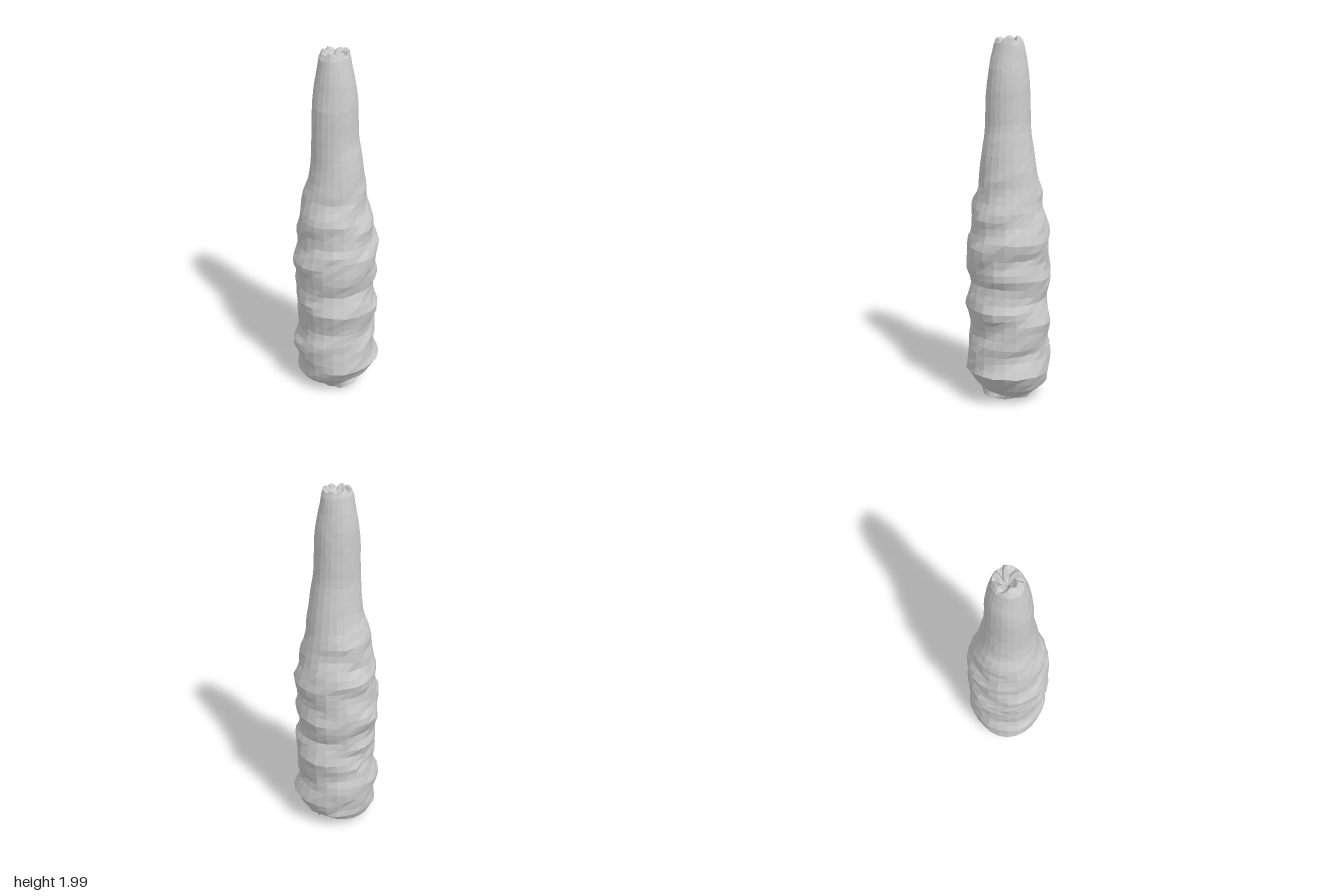
import * as THREE from 'three';

const SIDES = 24;
const RINGS = 46;

// Silhouettes of the body as [height, radius], one per quarter turn: left, front, right, back
const PROFILES = [
  [[0.06, 0.14], [0.1, 0.19], [0.18, 0.24], [0.3, 0.23], [0.4, 0.21], [0.55, 0.24], [0.68, 0.21], [0.86, 0.24], [0.95, 0.21],
    [1.06, 0.21], [1.12, 0.18], [1.25, 0.165], [1.35, 0.155], [1.45, 0.14], [1.52, 0.125], [1.7, 0.12], [1.82, 0.108], [1.95, 0.075]],
  [[0.06, 0.18], [0.1, 0.205], [0.2, 0.215], [0.28, 0.24], [0.4, 0.205], [0.5, 0.22], [0.58, 0.225], [0.7, 0.21], [0.83, 0.24],
    [0.95, 0.2], [1.1, 0.205], [1.2, 0.17], [1.3, 0.145], [1.4, 0.132], [1.7, 0.125], [1.8, 0.108], [1.95, 0.085]],
  [[0.06, 0.19], [0.1, 0.21], [0.2, 0.22], [0.3, 0.232], [0.4, 0.215], [0.5, 0.2], [0.55, 0.22], [0.62, 0.203], [0.73, 0.245],
    [0.85, 0.202], [0.96, 0.222], [1.05, 0.187], [1.15, 0.185], [1.25, 0.16], [1.32, 0.135], [1.5, 0.116], [1.8, 0.11], [1.95, 0.08]],
  [[0.06, 0.16], [0.1, 0.2], [0.18, 0.24], [0.3, 0.21], [0.36, 0.225], [0.48, 0.242], [0.6, 0.205], [0.72, 0.23], [0.82, 0.21],
    [0.92, 0.235], [1.05, 0.2], [1.2, 0.17], [1.4, 0.14], [1.52, 0.12], [1.75, 0.11], [1.95, 0.08]],
];

function radiusAt(profile, y) {
  if (y <= profile[0][0]) return profile[0][1];
  for (let i = 1; i < profile.length; i++) {
    const [y0, r0] = profile[i - 1];
    const [y1, r1] = profile[i];
    if (y <= y1) return THREE.MathUtils.lerp(r0, r1, (y - y0) / (y1 - y0));
  }
  return profile[profile.length - 1][1];
}

// Repeatable roughness in -1..1
function rough(i, j) {
  const s = Math.sin(i * 127.1 + j * 311.7) * 43758.5453;
  return 2 * (s - Math.floor(s)) - 1;
}

// Blends the neighbouring silhouettes around the axis and adds uneven ridges
function bodyRadius(angle, y, i, j) {
  const turn = angle / (Math.PI / 2);
  const q = Math.floor(turn);
  const t = THREE.MathUtils.smoothstep(turn - q, 0, 1);
  const r = THREE.MathUtils.lerp(radiusAt(PROFILES[q % 4], y), radiusAt(PROFILES[(q + 1) % 4], y), t);
  const wrinkled = 1 - THREE.MathUtils.smoothstep(y, 1.05, 1.4);
  const ridge = Math.sin(2 * angle) * Math.sin(y * 34 + 2 * Math.sin(angle));
  return r + wrinkled * 0.008 * ridge + (0.001 + 0.003 * wrinkled) * rough(i, j);
}

function createSkin() {
  const positions = [];
  const indices = [];
  let rows = 0;
  const addRing = (pointAt) => {
    for (let i = 0; i < SIDES; i++) {
      const angle = (i / SIDES) * Math.PI * 2;
      const [r, y] = pointAt(angle, i);
      positions.push(r * Math.cos(angle), y, r * Math.sin(angle));
    }
    rows++;
  };

  // Puckered underside, from the centre outwards
  const base = [[0.002, 0.075], [0.03, 0.05], [0.06, 0.028], [0.1, 0.026], [0.14, 0.036]];
  base.forEach(([r, y], k) => addRing((angle, i) => {
    const lobe = Math.max(0, Math.cos(angle - 0.6)) ** 8;
    const crumple = k ? 0.012 * rough(i, k) : 0;
    return [r * (1 + 0.08 * rough(k, i)), Math.max(0, y + crumple - (k > 1 ? 0.014 * lobe : 0))];
  }));

  // Wrinkled body tapering into the neck
  for (let j = 0; j <= RINGS; j++) {
    const y = 0.06 + (1.89 * j) / RINGS;
    addRing((angle, i) => [
      bodyRadius(angle, y, i, j),
      y + 0.006 * Math.sin(2 * angle + j) + 0.003 * rough(j, i),
    ]);
  }

  // Jagged crown folding down into the middle
  const crown = [[0.068, 1.975], [0.052, 1.978], [0.036, 1.965], [0.02, 1.945], [0.001, 1.92]];
  crown.forEach(([r, y], k) => addRing((angle, i) => {
    const fold = k < 4 ? 0.013 * Math.sin(6 * angle + k) + 0.009 * rough(i, k + 90) : 0;
    return [r * (1 + 0.06 * rough(k, i + 50)), Math.min(2, y + fold)];
  }));

  for (let j = 0; j < rows - 1; j++) {
    for (let i = 0; i < SIDES; i++) {
      const a = j * SIDES + i;
      const b = j * SIDES + ((i + 1) % SIDES);
      indices.push(a, a + SIDES, b, b, a + SIDES, b + SIDES);
    }
  }

  const geometry = new THREE.BufferGeometry();
  geometry.setAttribute('position', new THREE.Float32BufferAttribute(positions, 3));
  geometry.setIndex(indices);
  geometry.computeVertexNormals();
  return geometry;
}

export function createModel() {
  const group = new THREE.Group();
  group.name = 'wrinkledStalk';
  const material = new THREE.MeshStandardMaterial({ color: 0xcccccc, flatShading: true });
  const body = new THREE.Mesh(createSkin(), material);
  body.name = 'body';
  group.add(body);
  return group;
}
